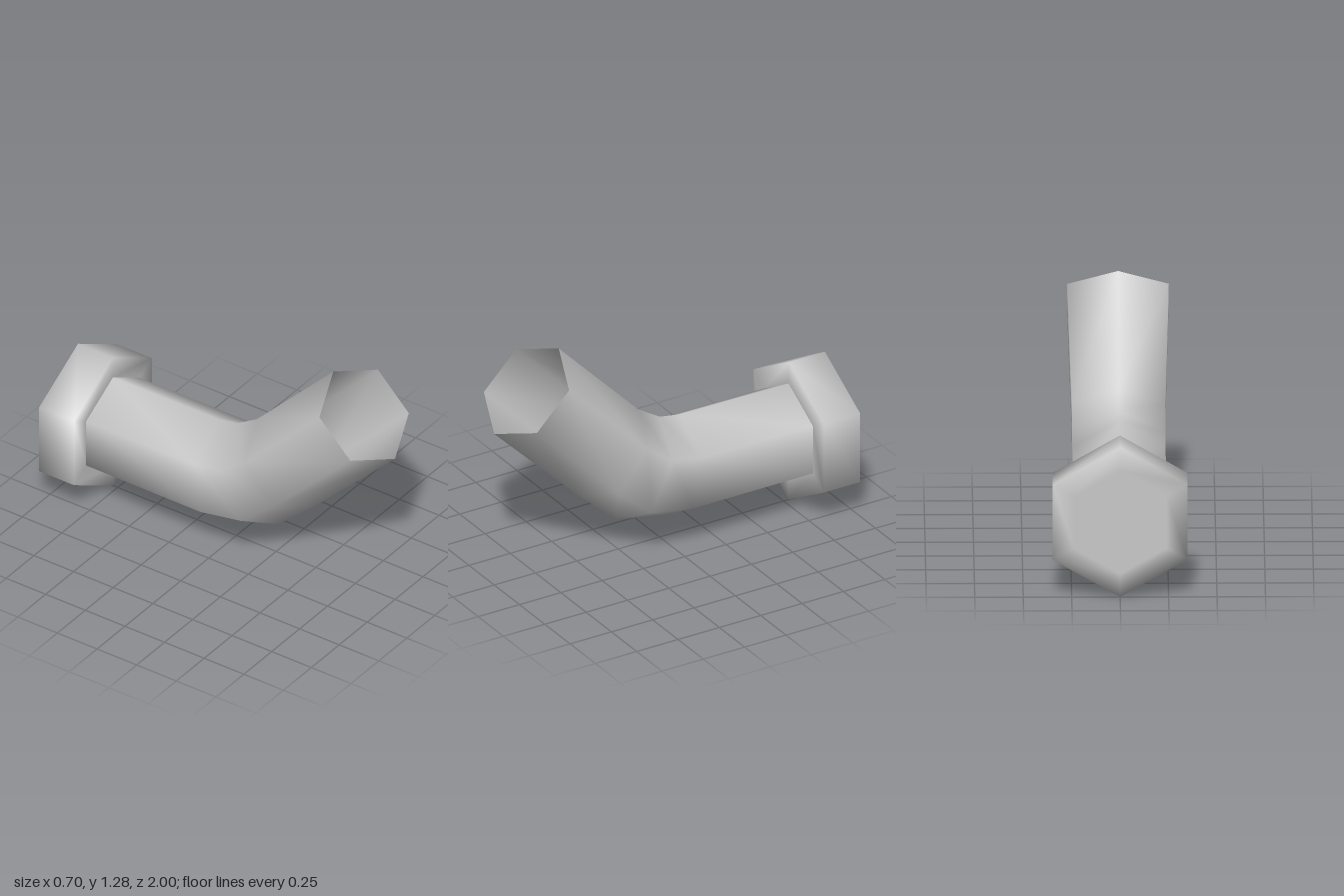
import * as THREE from 'three';

// Hexagon corners: side factor and position from the top corner (0) to the bottom corner (1)
const SIDE = [0, 1, 1, 0, -1, -1];
const DROP = [0, 0.25, 0.75, 1, 0.75, 0.25];

// Skins hexagonal sections [topZ, topY, bottomZ, bottomY, halfWidth] with smooth normals
function loft(sections) {
  const pos = [], index = [];
  sections.forEach(([tz, ty, bz, by, hw], i) => {
    for (let k = 0; k < 6; k++) {
      pos.push(hw * SIDE[k], ty + (by - ty) * DROP[k], tz + (bz - tz) * DROP[k]);
      if (i === 0) continue;
      const a = (i - 1) * 6 + k, b = (i - 1) * 6 + (k + 1) % 6;
      index.push(a, a + 6, b, b, a + 6, b + 6);
    }
  });
  const geo = new THREE.BufferGeometry();
  geo.setAttribute('position', new THREE.Float32BufferAttribute(pos, 3));
  geo.setIndex(index);
  geo.computeVertexNormals();
  return geo;
}

export function createModel() {
  const model = new THREE.Group();
  model.name = 'bentPipe';
  const metal = new THREE.MeshStandardMaterial({ color: 0xc8c8c8, side: THREE.DoubleSide });
  metal.name = 'light grey metal';

  const add = (name, sections) => {
    const mesh = new THREE.Mesh(loft(sections), metal);
    mesh.name = name;
    model.add(mesh);
  };

  // Straight run, two-step elbow and a slightly wider open mouth
  add('pipe', [
    [-0.78, 0.68, -0.78, 0.125, 0.24],
    [-0.12, 0.685, -0.04, 0.12, 0.24],
    [0.0, 0.705, 0.26, 0.175, 0.24],
    [0.13, 0.785, 0.48, 0.37, 0.241],
    [0.61, 1.277, 1.0, 0.885, 0.262],
  ]);

  // Closed back, rim and front ring of the flange
  const ring = (z, r) => [z, 0.402 + r, z, 0.402 - r, r * 0.866];
  add('flange', [ring(-1, 0), ring(-1, 0.277), ring(-1, 0.402), ring(-0.78, 0.402), ring(-0.78, 0.277)]);

  return model;
}
